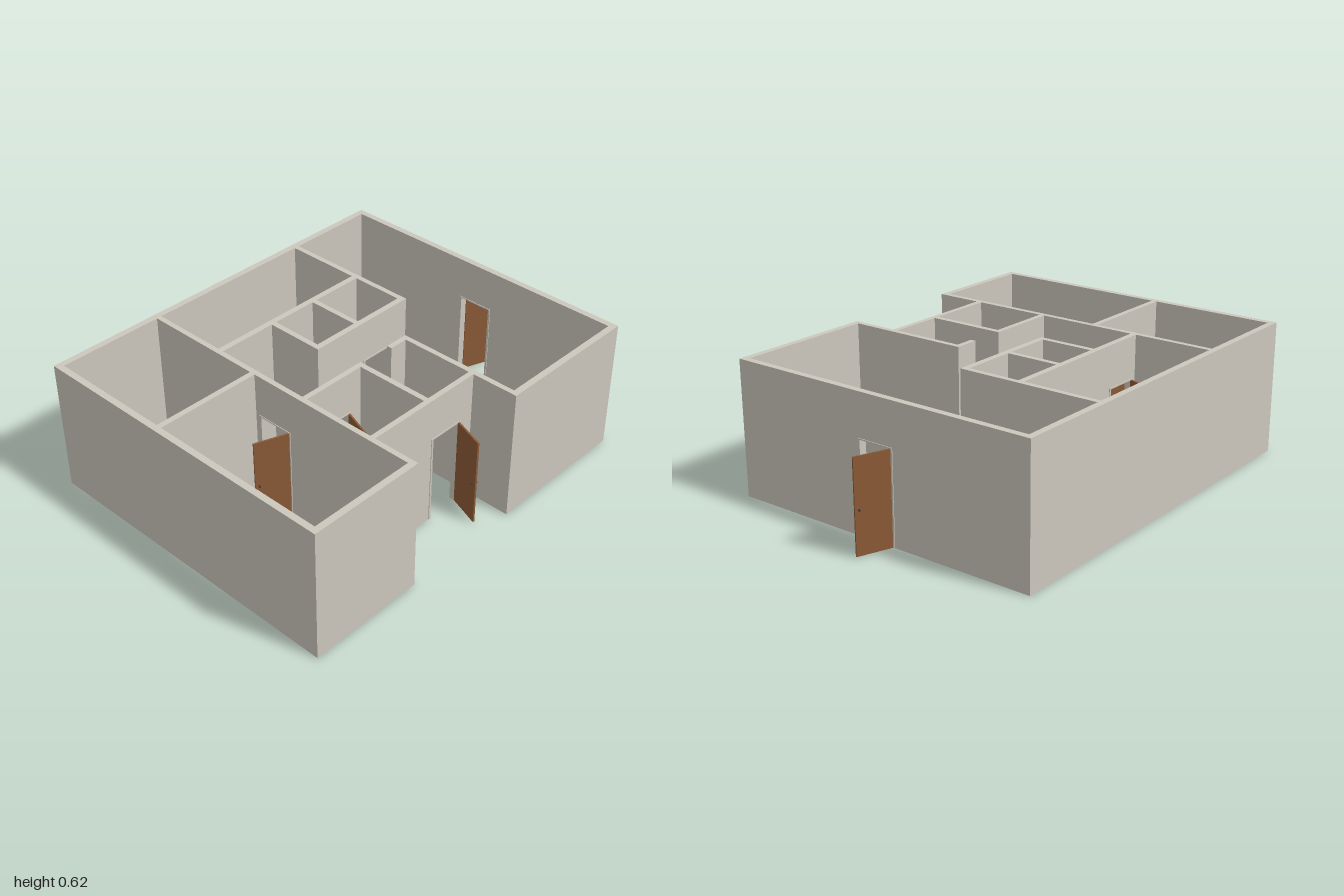
import * as THREE from 'three';

const H = 0.62, DOOR_H = 0.425, DOOR_W = 0.18, JAMB = 0.01;
const wallMat = new THREE.MeshStandardMaterial({ color: 0xcbc7bd });
const leafMat = new THREE.MeshStandardMaterial({ color: 0x8b5a36 });
const handleMat = new THREE.MeshStandardMaterial({ color: 0x4a3a30 });

// Wall running along x or z from a to b, filling c0..c1 across.
// Each entry in doors is the start of a doorway along the wall.
function addWall(group, name, axis, a, b, c0, c1, doors = []) {
  const s = new THREE.Shape();
  s.moveTo(a, 0);
  for (const d of doors) {
    s.lineTo(d, 0);
    s.lineTo(d, DOOR_H);
    s.lineTo(d + DOOR_W, DOOR_H);
    s.lineTo(d + DOOR_W, 0);
  }
  s.lineTo(b, 0);
  s.lineTo(b, H);
  s.lineTo(a, H);
  const unit = new THREE.Group();
  unit.name = name;
  const geo = new THREE.ExtrudeGeometry(s, { depth: c1 - c0, bevelEnabled: false });
  const wall = new THREE.Mesh(geo, wallMat);
  wall.name = name + 'Panel';
  unit.add(wall);

  // Frame lining each doorway, standing slightly proud of the wall
  for (const d of doors) {
    const f = new THREE.Shape();
    const e = d + DOOR_W;
    [[d, 0], [d + JAMB, 0], [d + JAMB, DOOR_H - 0.006], [e - JAMB, DOOR_H - 0.006],
      [e - JAMB, 0], [e, 0], [e, DOOR_H], [d, DOOR_H]]
      .forEach(([x, y], i) => (i ? f.lineTo(x, y) : f.moveTo(x, y)));
    const frame = new THREE.Mesh(
      new THREE.ExtrudeGeometry(f, { depth: c1 - c0 + 0.006, bevelEnabled: false }), wallMat);
    frame.name = 'doorFrame';
    frame.position.z = -0.003;
    unit.add(frame);
  }
  if (axis === 'x') unit.position.z = c0;
  else {
    unit.rotation.y = -Math.PI / 2;
    unit.position.x = c1;
  }
  group.add(unit);
}

// Open door leaf swinging from a hinge point towards (dx, dz), lever on both faces
function addDoor(group, name, x, z, dx, dz) {
  const L = 0.16, h = 0.418;
  const door = new THREE.Group();
  door.name = name;
  const leaf = new THREE.Mesh(new THREE.BoxGeometry(L, h, 0.008), leafMat);
  leaf.name = 'doorLeaf';
  leaf.position.set(L / 2, h / 2 + 0.002, 0);
  door.add(leaf);
  const spindle = new THREE.Mesh(new THREE.CylinderGeometry(0.003, 0.003, 0.028, 10), handleMat);
  spindle.name = 'handleSpindle';
  spindle.rotation.x = Math.PI / 2;
  spindle.position.set(L - 0.016, 0.2, 0);
  door.add(spindle);
  for (const side of [-1, 1]) {
    const knob = new THREE.Mesh(new THREE.SphereGeometry(0.005, 10, 8), handleMat);
    knob.name = 'handleKnob';
    knob.position.set(L - 0.016, 0.2, side * 0.013);
    door.add(knob);
  }
  door.position.set(x, 0, z);
  door.rotation.y = Math.atan2(-dz, dx);
  group.add(door);
}

export function createModel() {
  const model = new THREE.Group();
  model.name = 'floorPlan';

  // Outer walls
  const outer = new THREE.Group();
  outer.name = 'outerWalls';
  addWall(outer, 'backWall', 'x', -1, 0.845, -0.755, -0.725);
  addWall(outer, 'westWall', 'z', -0.725, 0.755, -1, -0.97);
  addWall(outer, 'eastWall', 'z', -0.725, 0.755, 0.815, 0.845, [-0.09]);
  addWall(outer, 'frontWestWall', 'x', -0.97, -0.475, 0.725, 0.755);
  addWall(outer, 'frontEastWall', 'x', 0.165, 0.815, 0.725, 0.755);
  addWall(outer, 'porchEastWall', 'z', 0.14, 0.755, 0.14, 0.165);
  addWall(outer, 'entranceWall', 'x', -0.45, 0.14, 0.51, 0.535, [-0.112]);
  model.add(outer);

  // Inner partitions
  const inner = new THREE.Group();
  inner.name = 'innerWalls';
  addWall(inner, 'bedroomWall', 'z', -0.725, 0.755, -0.475, -0.45, [-0.325, -0.09]);
  addWall(inner, 'bedroomDivider', 'x', -0.97, -0.475, -0.138, -0.112);
  addWall(inner, 'backRoomWall', 'x', -0.45, 0.36, -0.358, -0.33, [-0.43]);
  addWall(inner, 'backRoomEastWall', 'z', -0.725, -0.052, 0.36, 0.385);
  addWall(inner, 'closetWestWall', 'z', -0.33, -0.08, -0.168, -0.142);
  addWall(inner, 'closetDivider', 'z', -0.33, -0.08, 0.08, 0.105);
  addWall(inner, 'closetFrontWall', 'x', -0.168, 0.36, -0.08, -0.052, [-0.125, 0.11]);
  addWall(inner, 'washroomBackWall', 'x', -0.45, -0.112, 0.14, 0.165, [-0.378]);
  addWall(inner, 'washroomEastWall', 'z', 0.165, 0.51, -0.138, -0.112);
  addWall(inner, 'hallStubWall', 'x', 0.05, 0.14, 0.14, 0.165);
  model.add(inner);

  // Doors, all standing ajar by the same angle
  const doors = new THREE.Group();
  doors.name = 'doors';
  const c = 0.94, s = 0.342;
  addDoor(doors, 'eastDoor', 0.848, -0.08, c, s);
  addDoor(doors, 'entranceDoor', 0.06, 0.535, -s, c);
  addDoor(doors, 'backBedroomDoor', -0.475, -0.155, -c, -s);
  addDoor(doors, 'frontBedroomDoor', -0.475, 0.082, -c, -s);
  addDoor(doors, 'backRoomDoor', -0.422, -0.358, s, -c);
  addDoor(doors, 'closetDoorWest', -0.117, -0.08, s, -c);
  addDoor(doors, 'closetDoorEast', 0.12, -0.08, s, -c);
  addDoor(doors, 'washroomDoor', -0.207, 0.165, -s, c);
  model.add(doors);

  return model;
}
